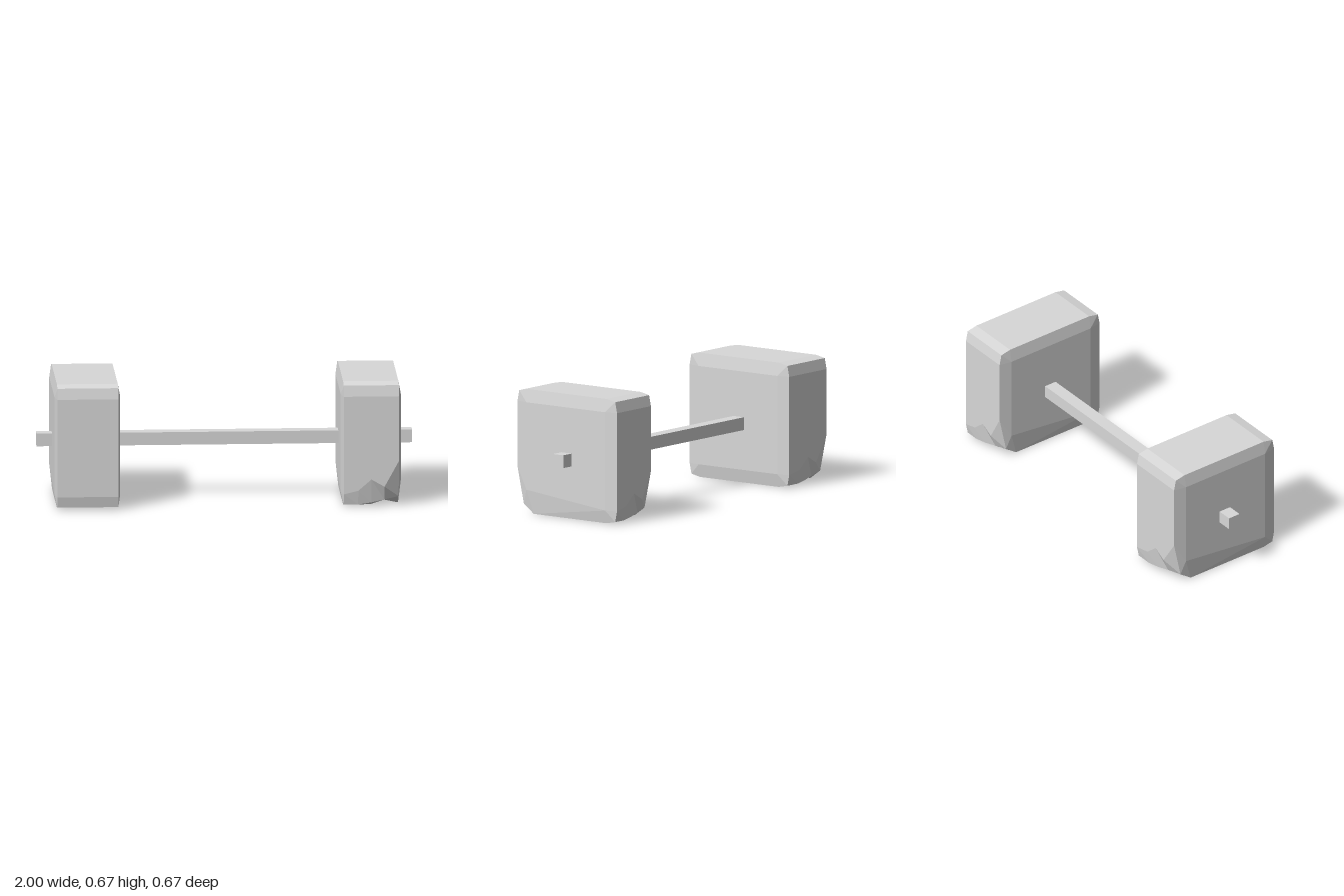
import * as THREE from 'three';

const CENTRE_Y = 0.336;

// Quarter profile of a weight as [y, z]; turned four times to close the ring
const CORNER = [[0.335, 0.265], [0.323, 0.323], [0.265, 0.335]];

// Chipped lower front edge: [station, ring point, y, z]
const CHIP = [
  [6, 3, 0.13, 0.265], [6, 4, 0.13, 0.265], [6, 5, 0.13, 0.265],
  [5, 3, 0.25, 0.335], [5, 4, 0.05, 0.292], [5, 5, 0.002, 0.225],
  [4, 3, 0.11, 0.335], [4, 4, 0.035, 0.304], [4, 5, 0.025, 0.26],
  [3, 3, 0.15, 0.335], [3, 4, 0.022, 0.316], [3, 5, 0.002, 0.262],
  [2, 3, 0.09, 0.335],
];

// Hollow bevelled block, open underneath, lofted along x from 12-point rings
function weightGeometry(half, chipBack) {
  const stations = [-half, 0.013 - half, -0.07, 0, 0.07, half - 0.013, half];
  const last = stations.length - 1;
  const rings = stations.map((x, s) => {
    const ring = [];
    for (let k = 0; k < 4; k++) {
      for (const point of CORNER) {
        let [y, z] = s === 0 || s === last ? [0.265, 0.265] : point;
        for (let t = 0; t < k; t++) [y, z] = [-z, y];
        ring.push(new THREE.Vector3(x, y, z));
      }
    }
    return ring;
  });

  // Chips: one on the front outer edge, optionally its twin at the back inner edge
  for (const [s, j, y, z] of CHIP) {
    rings[s][j].y = y - CENTRE_Y;
    rings[s][j].z = z;
    if (chipBack) {
      const twin = rings[last - s][11 - j];
      twin.y = y - CENTRE_Y;
      twin.z = -z;
    }
  }

  const positions = [];
  const triangle = (a, b, c) => {
    if (a.equals(b) || b.equals(c) || a.equals(c)) return;
    for (const v of [a, b, c]) positions.push(v.x, v.y, v.z);
  };
  for (let s = 0; s < last; s++) {
    for (let j = 0; j < 12; j++) {
      // The flat underside (between points 5 and 6) is left open
      if (j === 5 && s > 0 && s < last - 1) continue;
      const n = (j + 1) % 12;
      triangle(rings[s][j], rings[s][n], rings[s + 1][n]);
      triangle(rings[s][j], rings[s + 1][n], rings[s + 1][j]);
    }
  }
  // Square end faces
  const [start, end] = [rings[0], rings[last]];
  triangle(end[0], end[3], end[6]);
  triangle(end[0], end[6], end[9]);
  triangle(start[0], start[6], start[3]);
  triangle(start[0], start[9], start[6]);

  const geometry = new THREE.BufferGeometry();
  geometry.setAttribute('position', new THREE.Float32BufferAttribute(positions, 3));
  geometry.computeVertexNormals();
  return geometry;
}

export function createModel() {
  const group = new THREE.Group();
  const stone = new THREE.MeshStandardMaterial({ color: 0xd8d8d8, side: THREE.DoubleSide });
  stone.name = 'stoneGrey';

  const add = (name, geometry, x, y, z) => {
    const mesh = new THREE.Mesh(geometry, stone);
    mesh.name = name;
    mesh.position.set(x, y, z);
    group.add(mesh);
    return mesh;
  };

  // Square bar through both weights
  add('bar', new THREE.BoxGeometry(2, 0.069, 0.07), 0, 0.321, -0.005);

  // Weights; the right one is turned so its chip sits at the back
  add('leftWeight', weightGeometry(0.16, true), 0.767, CENTRE_Y, 0);
  add('rightWeight', weightGeometry(0.175, false), -0.742, CENTRE_Y, 0).rotation.y = Math.PI;

  return group;
}
